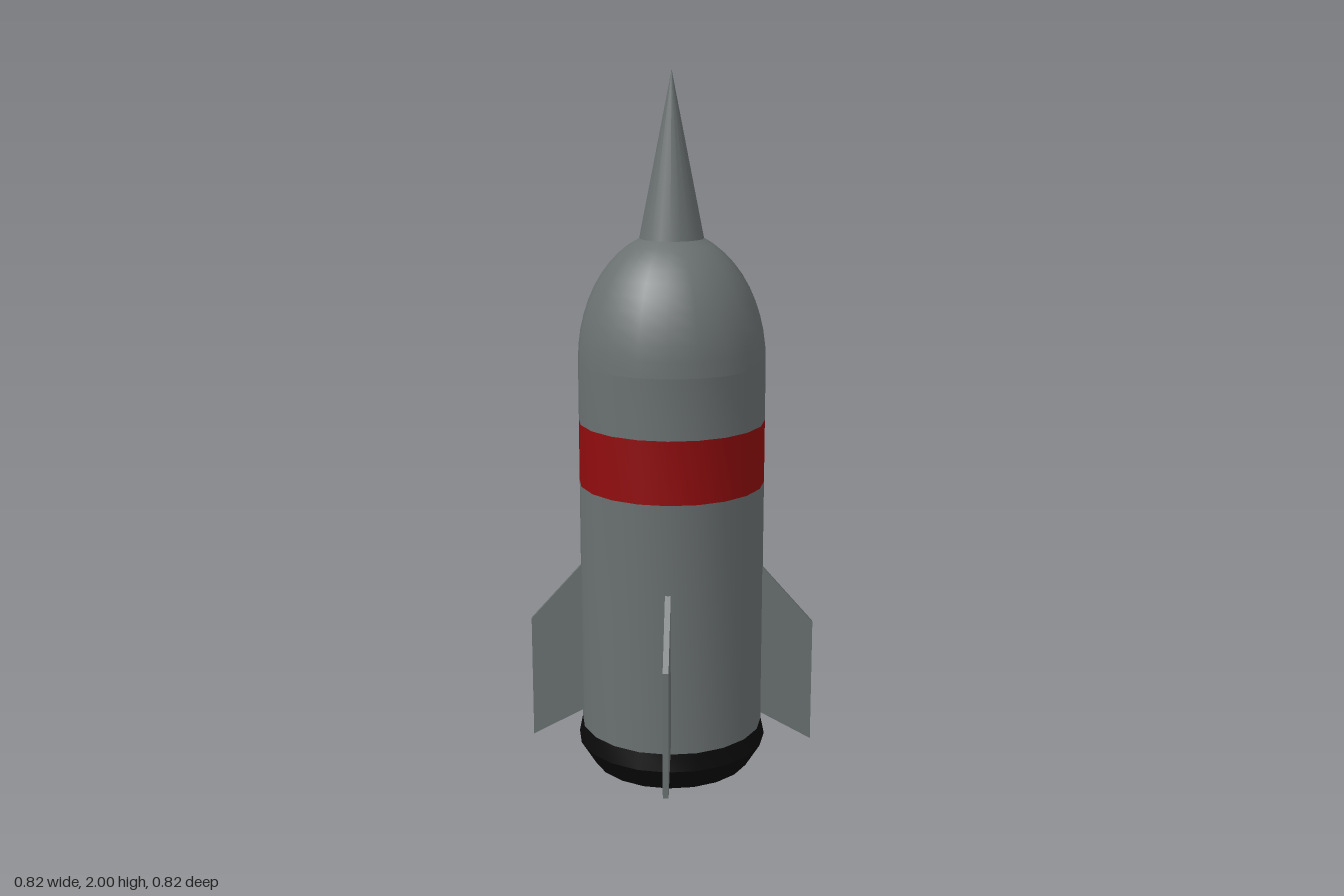
import * as THREE from 'three';
import { toCreasedNormals } from 'three/addons/utils/BufferGeometryUtils.js';

const SIDES = 20;
const R = 0.265;

const hullMat = new THREE.MeshStandardMaterial({ color: 0x6a7070 });
const redMat = new THREE.MeshStandardMaterial({ color: 0x900c0e });
const blackMat = new THREE.MeshStandardMaterial({ color: 0x0a0a0a });

// Turned part from [radius, height] pairs, listed bottom to top
function turned(name, profile, material) {
  const points = profile.map(([r, y]) => new THREE.Vector2(r, y));
  const geometry = toCreasedNormals(new THREE.LatheGeometry(points, SIDES), 0.6);
  const mesh = new THREE.Mesh(geometry, material);
  mesh.name = name;
  return mesh;
}

export function createModel() {
  const rocket = new THREE.Group();
  rocket.name = 'rocket';

  // Engine base: flat underneath, flaring to a rim, then closing onto the hull
  rocket.add(turned('engineBase', [[0, 0], [0.232, 0], [0.275, 0.07], [R, 0.12]], blackMat));

  // Straight hull with a painted band
  rocket.add(turned('lowerHull', [[R, 0.12], [R, 0.85]], hullMat));
  rocket.add(turned('redBand', [[R, 0.85], [R, 1.03]], redMat));
  rocket.add(turned('upperHull', [[R, 1.03], [R, 1.2]], hullMat));

  // Elliptical nose dome, stopping where the spike begins
  const dome = [];
  const end = Math.acos(0.09 / R);
  for (let i = 0; i <= 10; i++) {
    const a = (end * i) / 10;
    dome.push([R * Math.cos(a), 1.2 + 0.367 * Math.sin(a)]);
  }
  rocket.add(turned('noseDome', dome, hullMat));

  // Nose spike
  rocket.add(turned('noseSpike', [[0.09, 1.545], [0, 2]], hullMat));

  // Four swept fins
  const outline = new THREE.Shape([
    new THREE.Vector2(0.24, 0.153),
    new THREE.Vector2(0.412, 0.06),
    new THREE.Vector2(0.412, 0.425),
    new THREE.Vector2(0.24, 0.62),
  ]);
  const finGeometry = new THREE.ExtrudeGeometry(outline, { depth: 0.016, bevelEnabled: false });
  finGeometry.translate(0, 0, -0.008);
  for (const [i, side] of ['left', 'back', 'right', 'front'].entries()) {
    const fin = new THREE.Mesh(finGeometry, hullMat);
    fin.name = side + 'Fin';
    fin.rotation.y = (i * Math.PI) / 2;
    rocket.add(fin);
  }

  return rocket;
}
